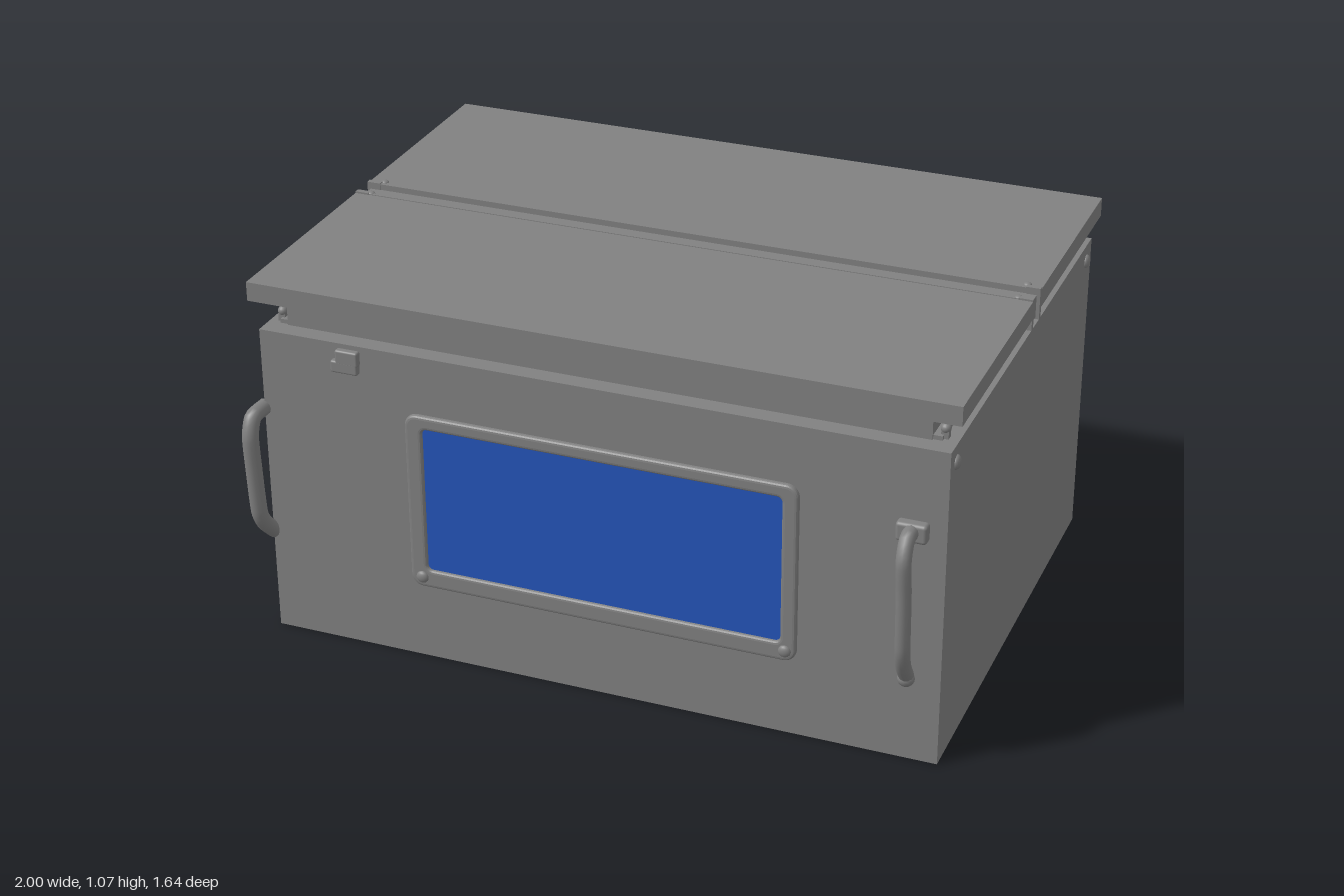
import * as THREE from 'three';
import { RoundedBoxGeometry } from 'three/addons/geometries/RoundedBoxGeometry.js';

export function createModel() {
  const root = new THREE.Group();
  root.name = 'coolerBox';
  const grey = new THREE.MeshStandardMaterial({ color: 0x808080 });
  grey.name = 'grey metal';
  const blue = new THREE.MeshStandardMaterial({ color: 0x2454b9 });
  blue.name = 'blue glass';

  const add = (name, geo, mat = grey, parent = root) => {
    const m = new THREE.Mesh(geo, mat);
    m.name = name;
    parent.add(m);
    return m;
  };
  // box given by its minimum and maximum corners
  const box = (name, x0, x1, y0, y1, z0, z1, mat = grey, r = 0) => {
    const size = [x1 - x0, y1 - y0, z1 - z0];
    const geo = r ? new RoundedBoxGeometry(...size, 3, r) : new THREE.BoxGeometry(...size);
    geo.translate((x0 + x1) / 2, (y0 + y1) / 2, (z0 + z1) / 2);
    return add(name, geo, mat);
  };
  // domed bolt head squashed along one axis
  const bolt = (name, x, y, z, r, axis) => {
    const m = add(name, new THREE.SphereGeometry(r, 16, 10));
    m.position.set(x, y, z);
    if (axis) m.scale[axis] = 0.6;
    return m;
  };
  const tube = (name, pts, r, sides = 12) => {
    const path = new THREE.CatmullRomCurve3(pts.map(p => new THREE.Vector3(...p)), false, 'catmullrom', 0.35);
    return add(name, new THREE.TubeGeometry(path, 40, r, sides, false));
  };
  const roundRect = (s, x0, x1, y0, y1, r) => {
    s.moveTo(x0 + r, y0);
    s.lineTo(x1 - r, y0);
    s.absarc(x1 - r, y0 + r, r, -Math.PI / 2, 0);
    s.lineTo(x1, y1 - r);
    s.absarc(x1 - r, y1 - r, r, 0, Math.PI / 2);
    s.lineTo(x0 + r, y1);
    s.absarc(x0 + r, y1 - r, r, Math.PI / 2, Math.PI);
    s.lineTo(x0, y0 + r);
    s.absarc(x0 + r, y0 + r, r, Math.PI, Math.PI * 1.5);
    return s;
  };

  // chest and the narrower neck under the lid
  box('body', -0.97, 0.975, 0, 0.93, -0.695, 0.702);
  box('neck', -0.91, 0.91, 0.93, 1.01, -0.63, 0.65);
  box('neckLip', -0.935, 0.935, 0.93, 0.942, -0.642, 0.645);

  // two lid halves and the channel between them
  box('frontLid', -1, 1, 1.01, 1.065, 0.055, 0.702);
  box('rearLid', -1, 1, 1.01, 1.065, -0.682, -0.022);
  box('hingeBar', -0.99, 0.99, 0.985, 1.05, -0.022, 0.04);
  for (const z of [-0.026, 0.049]) {
    box('hingeRail', -1, 1, 1.0, 1.067, z - 0.006, z + 0.006);
    for (const s of [-1, 1]) {
      box('hingeFlange', s * 0.98 - 0.02, s * 0.98 + 0.02, 0.98, 1.07, z - 0.008, z + 0.008);
      bolt('hingeBolt', s * 0.957, 1.064, z < 0 ? -0.045 : 0.043, 0.012, 'y');
    }
  }

  // bolts on the sides and pins above the corners
  for (const s of [-1, 1]) {
    for (const z of [-0.642, 0.65]) {
      bolt('sideBolt', s * 0.975, 0.88, z, 0.02, 'x');
      bolt('cornerPin', s * 0.937, 0.957, z * 0.96, 0.014);
      box('pinBase', s * 0.937 - 0.01, s * 0.937 + 0.01, 0.93, 0.95, z * 0.96 - 0.01, z * 0.96 + 0.01);
    }
  }
  // flat release lever on the left ledge
  tube('releaseLever', [[0.945, 0.955, 0.08], [0.945, 0.955, -0.05], [0.945, 0.953, -0.14], [0.945, 0.937, -0.225]], 0.012);

  // framed window on the front and the back
  for (const s of [1, -1]) {
    const face = s > 0 ? 0.702 : -0.695;
    const frame = roundRect(new THREE.Shape(), -0.53, 0.57, 0.24, 0.75, 0.025);
    frame.holes.push(roundRect(new THREE.Path(), -0.5, 0.545, 0.275, 0.73, 0.025));
    const geo = new THREE.ExtrudeGeometry(frame, {
      depth: 0.008, bevelThickness: 0.008, bevelSize: 0.01, bevelSegments: 3, curveSegments: 6,
    });
    const f = add('windowFrame', geo);
    const glass = add('windowGlass', new THREE.PlaneGeometry(1.05, 0.46), blue);
    glass.position.set(0.0225, 0.5025, face + s * 0.004);
    if (s > 0) {
      f.position.z = face - 0.002;
    } else {
      f.position.z = face - 0.014;
      glass.rotation.y = Math.PI;
    }
    for (const x of [-0.505, 0.55]) bolt('frameBolt', x, 0.262, face + s * 0.014, 0.018, 'z');
  }

  // front latch
  box('latchPlate', -0.75, -0.67, 0.85, 0.885, 0.70, 0.722, grey, 0.006);
  box('latchTab', -0.735, -0.668, 0.875, 0.918, 0.70, 0.722, grey, 0.006);

  // control panel with four knobs on the back
  box('controlPanel', -0.14, 0.19, 0.80, 0.922, -0.712, -0.69, grey, 0.006);
  for (let i = 0; i < 4; i++) {
    const knob = add('knob', new THREE.CylinderGeometry(0.015, 0.018, 0.012, 16));
    knob.rotation.x = -Math.PI / 2;
    knob.position.set(-0.075 + i * 0.068, 0.84, -0.715);
  }
  box('panelDisplay', -0.1, 0.15, 0.878, 0.902, -0.718, -0.71);

  // bracketed handle on the front left
  box('handleBracket', 0.845, 0.93, 0.67, 0.725, 0.70, 0.735, grey, 0.01);
  tube('frontLeftHandle', [[0.888, 0.70, 0.70], [0.888, 0.7, 0.765], [0.89, 0.65, 0.796], [0.892, 0.55, 0.79],
    [0.89, 0.38, 0.775], [0.885, 0.31, 0.745], [0.882, 0.245, 0.695]], 0.021);
  bolt('handleFoot', 0.882, 0.25, 0.705, 0.024);

  // handle on the front right corner
  tube('frontRightHandle', [[-0.975, 0.69, 0.69], [-0.975, 0.69, 0.76], [-0.975, 0.64, 0.782], [-0.975, 0.55, 0.778],
    [-0.975, 0.40, 0.765], [-0.975, 0.35, 0.74], [-0.975, 0.30, 0.69]], 0.023);

  // thick and thin handles on the back
  tube('rearLeftHandle', [[0.9, 0.56, -0.685], [0.905, 0.54, -0.765], [0.917, 0.50, -0.802], [0.915, 0.42, -0.79],
    [0.905, 0.24, -0.75], [0.9, 0.1, -0.718], [0.9, 0.055, -0.69]], 0.02);
  tube('rearRightHandle', [[-0.82, 0.90, -0.695], [-0.82, 0.89, -0.725], [-0.82, 0.82, -0.75], [-0.82, 0.68, -0.785],
    [-0.82, 0.57, -0.805], [-0.82, 0.52, -0.795], [-0.82, 0.5, -0.765]], 0.009, 8);

  return root;
}
